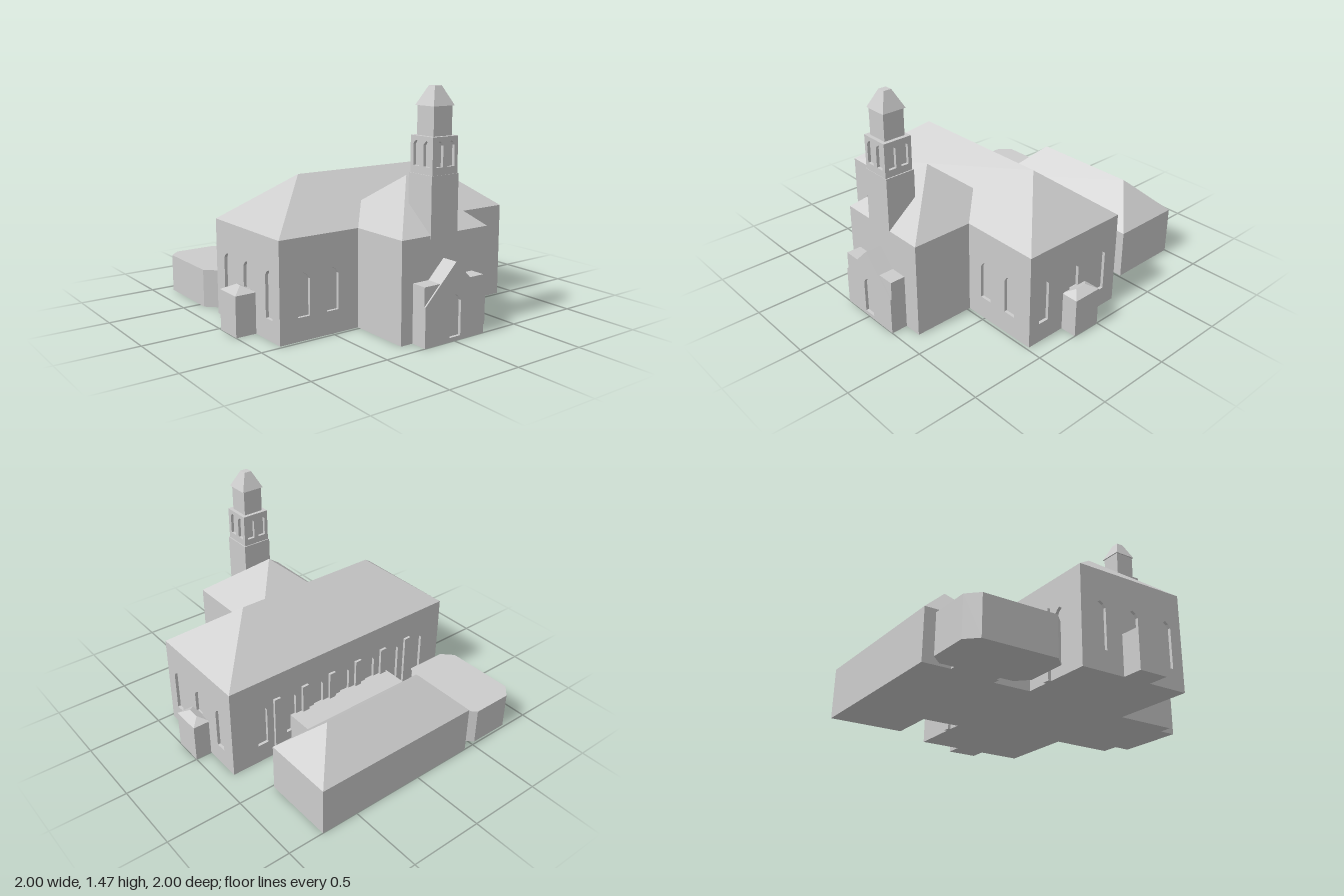
import * as THREE from 'three';

const RECESS = 0.02;

export function createModel() {
  const root = new THREE.Group();
  root.name = 'church';
  const stone = new THREE.MeshStandardMaterial({ color: 0xcccccc });
  stone.name = 'pale grey';

  const add = (name, geometry) => {
    const mesh = new THREE.Mesh(geometry, stone);
    mesh.name = name;
    root.add(mesh);
    return mesh;
  };

  // Box given by its limits
  const block = (name, x0, x1, y0, y1, z0, z1) => {
    const g = new THREE.BoxGeometry(x1 - x0, y1 - y0, z1 - z0);
    g.translate((x0 + x1) / 2, (y0 + y1) / 2, (z0 + z1) / 2);
    return add(name, g);
  };

  // Hipped roof: base rectangle rising to a smaller rectangle, ridge or point
  const hip = (name, [x0, x1, z0, z1], y0, [rx0, rx1, rz0, rz1], y1) => {
    const p = [
      [x0, y0, z1], [x1, y0, z1], [x1, y0, z0], [x0, y0, z0],
      [rx0, y1, rz1], [rx1, y1, rz1], [rx1, y1, rz0], [rx0, y1, rz0],
    ];
    const index = [4, 5, 6, 4, 6, 7, 0, 2, 1, 0, 3, 2];
    for (let i = 0; i < 4; i++) {
      const j = (i + 1) % 4;
      index.push(i, j, j + 4, i, j + 4, i + 4);
    }
    const base = new THREE.BufferGeometry();
    base.setAttribute('position', new THREE.Float32BufferAttribute(p.flat(), 3));
    base.setIndex(index);
    const g = base.toNonIndexed();
    g.computeVertexNormals();
    return add(name, g);
  };

  // Pointed window opening: centre, width, sill and tip
  const lancet = ([c, w, y0, y1]) => {
    const h = w / 2;
    return new THREE.Path([
      [c - h, y0], [c + h, y0], [c + h, y1 - w * 0.48],
      [c + h * 0.6, y1 - w * 0.2], [c, y1],
      [c - h * 0.6, y1 - w * 0.2], [c - h, y1 - w * 0.48],
    ].map(([x, y]) => new THREE.Vector2(x, y)));
  };

  const prism = (name, points, holes, depth) => {
    const shape = new THREE.Shape(points.map(([x, y]) => new THREE.Vector2(x, y)));
    shape.holes = holes.map(lancet);
    return add(name, new THREE.ExtrudeGeometry(shape, { depth, bevelEnabled: false }));
  };

  // Outer wall skin with window openings; pos is the outer plane
  const wall = (name, side, pos, a, b, y0, y1, windows) => {
    const m = prism(name, [[a, y0], [b, y0], [b, y1], [a, y1]], windows, RECESS);
    if (side === 'front') m.position.z = pos - RECESS;
    if (side === 'back') m.position.z = pos;
    if (side === 'left' || side === 'right') {
      m.rotation.y = -Math.PI / 2;
      m.position.x = side === 'left' ? pos : pos + RECESS;
    }
  };

  // Box with four skins, so that its windows are recessed
  const hall = (name, x0, x1, y0, y1, z0, z1, win) => {
    const d = RECESS;
    block(name + 'Core', x0 + d, x1 - d, y0, y1, z0 + d, z1 - d);
    wall(name + 'FrontWall', 'front', z1, x0, x1, y0, y1, win.front);
    wall(name + 'BackWall', 'back', z0, x0, x1, y0, y1, win.back);
    wall(name + 'LeftWall', 'left', x1, z0 + d, z1 - d, y0, y1, win.sides);
    wall(name + 'RightWall', 'right', x0, z0 + d, z1 - d, y0, y1, win.sides);
  };

  // Main hall
  hall('hall', -0.865, 0.89, 0, 0.62, -0.27, 0.48, {
    front: [-0.7, -0.497, 0.507, 0.717].map((x) => [x, 0.085, 0.145, 0.41]),
    back: [-0.665, -0.445, -0.225, -0.005, 0.215, 0.435, 0.66].map((x) => [x, 0.075, 0.13, 0.425]),
    sides: [0.363, 0.108, -0.132].map((z) => [z, 0.075, 0.13, 0.425]),
  });
  hip('hallRoof', [-0.865, 0.89, -0.27, 0.48], 0.62, [-0.49, 0.52, 0.105, 0.105], 0.915);
  for (let i = 0; i < 6; i++) {
    const x = -0.555 + i * 0.221;
    block('rearButtress', x - 0.024, x + 0.024, 0, 0.445, -0.288, -0.26);
  }

  // Front wing with a pyramid roof
  block('frontWing', -0.31, 0.355, 0, 0.62, 0.4, 0.89);
  hip('frontWingRoof', [-0.31, 0.355, 0.16, 0.89], 0.62, [0.022, 0.022, 0.525, 0.525], 0.915);

  // Entrance porch: gabled front between two low piers
  block('entrancePier', -0.225, -0.1, 0, 0.36, 0.88, 0.99);
  block('entrancePier', 0.11, 0.235, 0, 0.36, 0.88, 0.99);
  const gable = [[-0.225, 0], [0.235, 0], [0.235, 0.245], [0.005, 0.475], [-0.225, 0.245]];
  prism('entranceGable', gable, [], 0.1).position.z = 0.88;
  prism('entranceFront', gable, [[0.005, 0.085, 0.025, 0.28]], RECESS).position.z = 0.98;

  // Bell tower
  block('towerShaft', -0.098, 0.108, 0.6, 0.965, 0.69, 0.892);
  hall('belfry', -0.092, 0.1, 0.965, 1.185, 0.697, 0.89, {
    front: [-0.04, 0.047].map((x) => [x, 0.055, 1.01, 1.16]),
    back: [-0.04, 0.047].map((x) => [x, 0.055, 1.01, 1.16]),
    sides: [0.748, 0.836].map((z) => [z, 0.052, 1.01, 1.16]),
  });
  block('lantern', -0.066, 0.074, 1.185, 1.357, 0.722, 0.865);
  hip('lanternCap', [-0.075, 0.085, 0.713, 0.873], 1.357, [-0.022, 0.03, 0.768, 0.82], 1.47);

  // Side porches
  block('leftPorch', 0.87, 1, 0, 0.255, 0, 0.2);
  hip('leftPorchRoof', [0.88, 1, 0, 0.2], 0.255, [0.94, 0.94, 0.06, 0.14], 0.287);
  block('rightPorch', -1, -0.85, 0, 0.255, 0.02, 0.21);
  hip('rightPorchRoof', [-1, -0.855, 0.02, 0.21], 0.255, [-0.927, -0.927, 0.095, 0.135], 0.293);

  // Rear building and flat link
  block('rearLink', -0.375, 0.438, 0, 0.25, -0.53, -0.26);
  block('rearBuilding', -0.425, 0.757, 0, 0.325, -1, -0.515);
  hip('rearRoof', [-0.425, 0.757, -1, -0.515], 0.325, [-0.197, 0.535, -0.757, -0.757], 0.557);

  // Annex with cut corners
  block('annexLink', -0.48, -0.41, 0, 0.25, -0.82, -0.53);
  const [ax0, ax1, az0, az1, c] = [-0.88, -0.46, 0.37, 0.985, 0.072];
  const annex = prism('annex', [
    [ax0 + c, az0], [ax1 - c, az0], [ax1, az0 + c], [ax1, az1 - c],
    [ax1 - c, az1], [ax0 + c, az1], [ax0, az1 - c], [ax0, az0 + c],
  ], [], 0.25);
  annex.rotation.x = -Math.PI / 2;

  return root;
}
